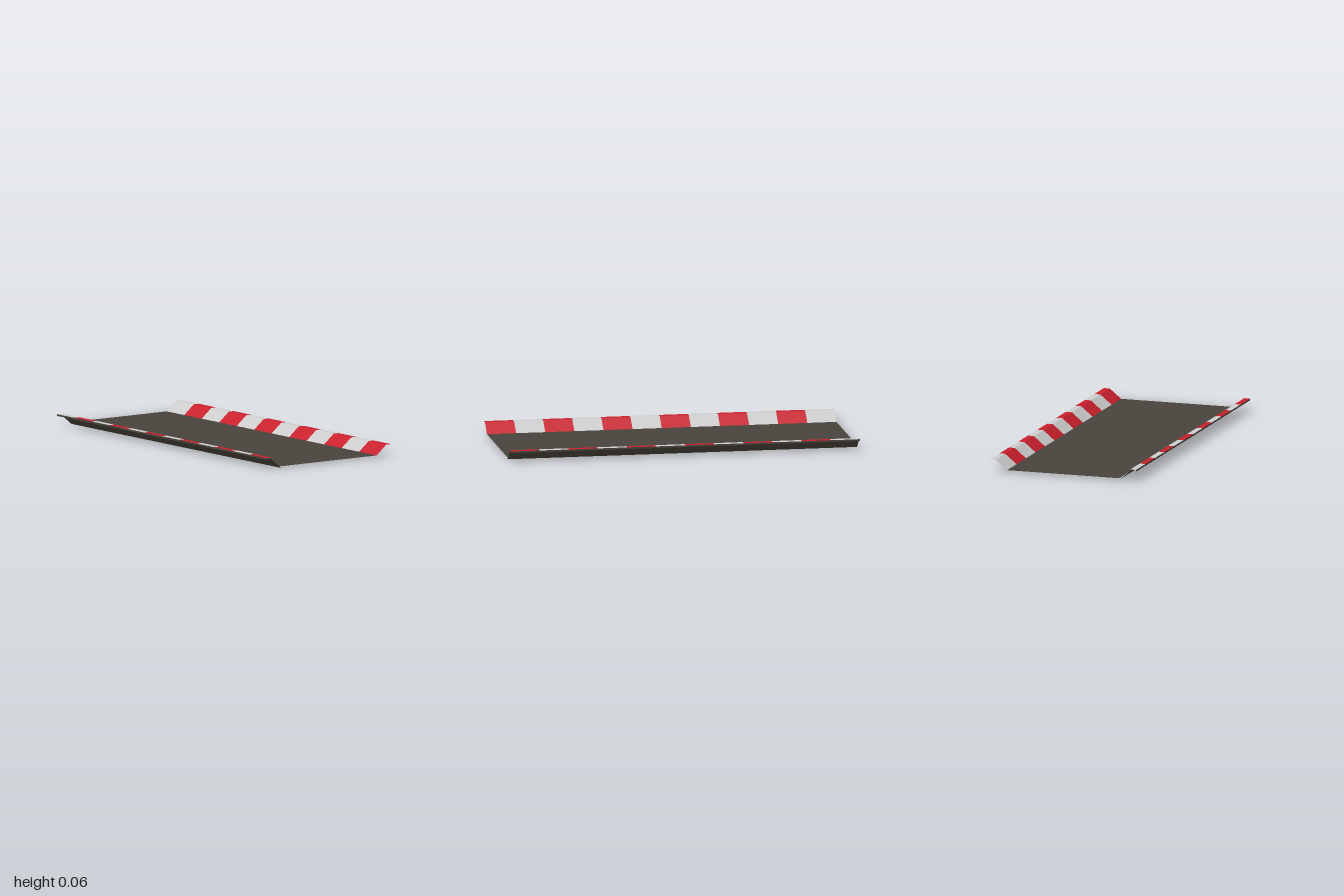
import * as THREE from 'three';

const road = new THREE.MeshStandardMaterial({ color: 0x48423b });
road.name = 'asphalt';
const red = new THREE.MeshStandardMaterial({ color: 0xc8202c });
red.name = 'kerb red';
const white = new THREE.MeshStandardMaterial({ color: 0xcccccc });
white.name = 'kerb white';

// Sweeps an open x-y profile along z; faces point to the left of the travel direction.
function sweep(name, profile, z0, z1, material) {
  const pos = [];
  const index = [];
  for (let i = 0; i < profile.length - 1; i++) {
    const [ax, ay] = profile[i];
    const [bx, by] = profile[i + 1];
    const n = pos.length / 3;
    pos.push(ax, ay, z1, bx, by, z1, bx, by, z0, ax, ay, z0);
    index.push(n, n + 1, n + 2, n, n + 2, n + 3);
  }
  const geometry = new THREE.BufferGeometry();
  geometry.setAttribute('position', new THREE.Float32BufferAttribute(pos, 3));
  geometry.setIndex(index);
  geometry.computeVertexNormals();
  const mesh = new THREE.Mesh(geometry, material);
  mesh.name = name;
  return mesh;
}

const mirror = (profile) => profile.map(([x, y]) => [-x, y]).reverse();

export function createModel() {
  const group = new THREE.Group();
  group.name = 'trackSection';

  const inner = 0.333, crest = 0.4, outer = 0.435;
  const thick = 0.01, top = 0.065;

  // Flat driving surface
  group.add(sweep('roadSurface', [[-inner, thick], [inner, thick]], -1, 1, road));

  // Outer lip edges and underside, open at both ends
  const underside = [[outer, top], [outer, top - thick], [crest, top - thick], [inner, 0]];
  group.add(sweep('underside', [...underside, ...mirror(underside)], -1, 1, road));

  // Raised kerbs with alternating blocks
  const kerb = [[inner, thick], [crest, top], [outer, top]];
  const count = 12, step = 2 / count;
  for (const [name, profile] of [['leftKerb', kerb], ['rightKerb', mirror(kerb)]]) {
    const side = new THREE.Group();
    side.name = name;
    for (let i = 0; i < count; i++) {
      const z = -1 + i * step;
      side.add(sweep('kerbBlock', profile, z, z + step, i % 2 ? red : white));
    }
    group.add(side);
  }
  return group;
}
